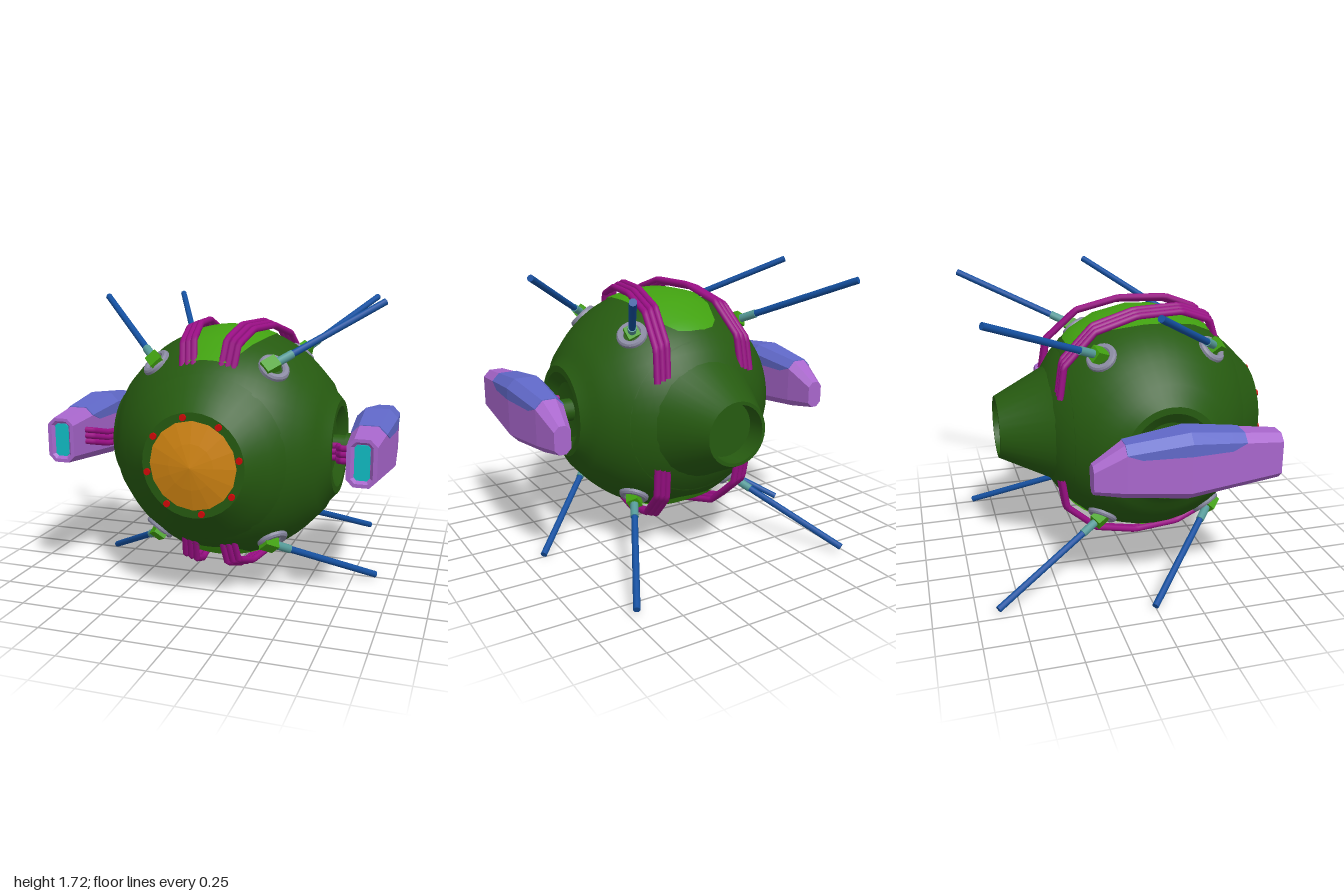
import * as THREE from 'three';
import { toCreasedNormals } from 'three/addons/utils/BufferGeometryUtils.js';

const CY = 0.873, CZ = 0.15, R = 0.697; // hull centre and radius
const V = (x, y, z) => new THREE.Vector3(x, y, z);
const mat = (color, extra = {}) => new THREE.MeshStandardMaterial({ color, ...extra });
const M = {
  hull: mat(0x265a10, { side: THREE.DoubleSide }),
  panel: mat(0x41a010, { side: THREE.DoubleSide }),
  orange: mat(0xd08412, { flatShading: true }),
  red: mat(0xd00808),
  cable: mat(0x9a0f85),
  rod: mat(0x1450a0),
  socket: mat(0x559a98),
  ring: mat(0x8888a0),
  pod: mat(0xa866cc, { flatShading: true }),
  canopy: mat(0x6068c8, { flatShading: true }),
  light: mat(0x10bcc4, { flatShading: true }),
  block: mat(0x41a010, { flatShading: true }),
};

export function createModel() {
  const model = new THREE.Group();
  const add = (name, geo, material, parent = model) => {
    const mesh = new THREE.Mesh(geo, material);
    mesh.name = name;
    parent.add(mesh);
    return mesh;
  };
  const lathe = (pts, sides) =>
    toCreasedNormals(new THREE.LatheGeometry(pts.map(p => new THREE.Vector2(...p)), sides), 0.5);

  // Hull: sphere turned about the x axis, with a raised collar and sunken bowl on each side
  const side = [[0.455, 0.53], [0.385, 0.595], [0.34, 0.615], [0.28, 0.67], [0.24, 0.67], [0.17, 0.62], [0, 0.6]];
  const arc = [];
  const end = Math.asin(0.53 / R);
  for (let i = 1; i < 20; i++) {
    const a = -end + (2 * end * i) / 20;
    arc.push([R * Math.cos(a), R * Math.sin(a)]);
  }
  const profile = [...side.map(([r, h]) => [r, -h]).reverse(), ...arc, ...side];
  add('hull', lathe(profile, 40).rotateZ(-Math.PI / 2), M.hull).position.set(0, CY, CZ);

  // Front collar with its flat face
  add('frontCollar', lathe([[0.475, 0.51], [0.41, 0.58], [0.365, 0.62], [0.295, 0.69], [0, 0.69]], 32)
    .rotateX(Math.PI / 2), M.hull).position.set(0, CY, CZ);

  // Rear nozzle with a hollow mouth
  add('rearNozzle', lathe([[0.47, 0.515], [0.38, 0.57], [0.345, 0.605], [0.19, 0.91], [0.17, 0.91], [0.165, 0.8], [0, 0.8]], 32)
    .rotateX(-Math.PI / 2), M.hull).position.set(0, CY, CZ);

  // Front window dish and the rivets around it
  add('window', lathe([[0.25, 0.84], [0.13, 0.868], [0, 0.89]], 16).rotateX(Math.PI / 2), M.orange)
    .position.set(0, CY, 0);
  for (let i = 0; i < 8; i++) {
    const a = 1.76 + (i * Math.PI) / 4;
    add('rivet', new THREE.CylinderGeometry(0.019, 0.019, 0.03, 10).rotateX(Math.PI / 2), M.red)
      .position.set(0.27 * Math.cos(a), CY + 0.27 * Math.sin(a), 0.838);
  }

  // Light panels lying on the hull, above and below
  const widths = [[-0.33, 0.05], [-0.31, 0.12], [-0.26, 0.17], [-0.1, 0.225], [0.1, 0.265], [0.25, 0.26], [0.42, 0.21], [0.6, 0.12]];
  for (const up of [1, -1]) {
    const geo = new THREE.PlaneGeometry(2, 1, 12, widths.length - 1);
    const p = geo.attributes.position;
    for (let i = 0; i < p.count; i++) {
      const [z, w] = widths[Math.floor(i / 13)];
      const x = p.getX(i) * w, r = R + 0.008;
      p.setXYZ(i, x, CY + up * Math.sqrt(r * r - x * x - (z - CZ) ** 2), z);
    }
    geo.computeVertexNormals();
    // the lower panel is mirrored, so its corners run the other way
    if (up < 0) {
      geo.index.array.reverse();
      geo.computeVertexNormals();
    }
    add(up > 0 ? 'topPanel' : 'bottomPanel', geo, M.panel);
  }

  // Cables with straight runs between bends
  const cable = (name, pts, radius) => add(name,
    new THREE.TubeGeometry(new THREE.CatmullRomCurve3(pts, false, 'catmullrom', 0), 48, radius, 8), M.cable);
  const run = [[0.115, 1.37, 0.59], [0.13, 1.51, 0.54], [0.16, 1.58, 0.35], [0.205, 1.58, 0.06],
    [0.24, 1.51, -0.2], [0.275, 1.33, -0.39], [0.285, 1.14, -0.42]];
  const feed = [[0.6, 0.875, 0.3], [0.69, 0.88, 0.31], [0.715, 0.89, 0.42], [0.75, 0.92, 0.53], [0.83, 0.925, 0.545]];
  for (const s of [1, -1]) {
    for (const k of [-1, 0, 1]) {
      for (const up of [1, -1]) {
        cable('hullCable', run.map(([x, y, z]) =>
          V(s * (x + k * 0.034), CY + up * (y - CY - k * 0.012), z)), 0.02);
      }
      cable('podCable', feed.map(([x, y, z]) => V(s * x, y + k * 0.035, z)), 0.018);
    }
  }

  // Loft through closed rings, back to front, each counter-clockwise seen from the front
  const loft = rings => {
    const pos = [], n = rings[0].length;
    const tri = (...t) => t.forEach(v => pos.push(v.x, v.y, v.z));
    for (let i = 0; i + 1 < rings.length; i++) {
      for (let j = 0; j < n; j++) {
        const k = (j + 1) % n, a = rings[i], b = rings[i + 1];
        tri(a[j], a[k], b[k]);
        tri(a[j], b[k], b[j]);
      }
    }
    const first = rings[0], last = rings[rings.length - 1];
    for (let j = 1; j + 1 < n; j++) {
      tri(first[0], first[j + 1], first[j]);
      tri(last[0], last[j], last[j + 1]);
    }
    const geo = new THREE.BufferGeometry();
    geo.setAttribute('position', new THREE.Float32BufferAttribute(pos, 3));
    geo.computeVertexNormals();
    return geo;
  };
  const octagon = ([z, w, b, t, c]) => [V(w, b + c, z), V(w, t - c, z), V(w - c, t, z), V(c - w, t, z),
    V(-w, t - c, z), V(-w, b + c, z), V(c - w, b, z), V(w - c, b, z)];

  // Side pods: stations are z, half width, bottom, top, chamfer
  const stations = [[-0.37, 0.05, 0.795, 0.96, 0.03], [-0.2, 0.085, 0.765, 1.067, 0.045],
    [0.15, 0.115, 0.73, 1.11, 0.05], [0.68, 0.083, 0.785, 1.048, 0.04]];
  const lip = [[0.68, 0.06, 0.805, 1.03, 0.025], [0.66, 0.043, 0.82, 1.015, 0.015]];
  const at = z => {
    const i = stations.findIndex((s, k) => k < 3 && z <= stations[k + 1][0]);
    const a = stations[i], b = stations[i + 1], f = (z - a[0]) / (b[0] - a[0]);
    return a.map((v, k) => v + (b[k] - v) * f);
  };
  const canopyRings = [[-0.2, 0], [-0.12, 1], [0.15, 1], [0.38, 1], [0.46, 0]].map(([z, deep]) => {
    let [, w, , t, c] = at(z);
    w += 0.004;
    t += 0.004;
    const low = deep ? 0.995 : t - c - 0.002;
    return [V(w, low, z), V(w, t - c, z), V(w - c, t, z), V(c - w, t, z), V(-w, t - c, z), V(-w, low, z)];
  });
  for (const s of [1, -1]) {
    const pod = new THREE.Group();
    pod.name = s > 0 ? 'leftPod' : 'rightPod';
    pod.position.x = s * 0.885;
    model.add(pod);
    add('podShell', loft([...stations, ...lip].map(octagon)), M.pod, pod);
    add('podCanopy', loft(canopyRings), M.canopy, pod);
    add('podLight', loft([[0.65, 0.042, 0.821, 1.014, 0.015], [0.667, 0.042, 0.821, 1.014, 0.015]].map(octagon)), M.light, pod);

    // Strut from the hull bowl to the pod
    add('podStrut', new THREE.CylinderGeometry(0.07, 0.07, 0.24, 16).rotateZ(Math.PI / 2), M.hull)
      .position.set(s * 0.7, CY, CZ);
    add('strutCollar', new THREE.CylinderGeometry(0.085, 0.085, 0.04, 16).rotateZ(Math.PI / 2), M.hull)
      .position.set(s * 0.73, CY, CZ);
  }

  // Antennas: ring on the hull, block, socket and rod
  const ringProfile = [[0.05, -0.03], [0.095, -0.03], [0.09, 0.004], [0.08, 0.014], [0.06, 0.014], [0.05, 0.004], [0.05, -0.03]];
  const masts = [
    { seat: [0.36, 0.51, 0.34], block: [0.34, 1.385, 0.515], tip: [0.885, 1.715, -0.005] },
    { seat: [0.36, 0.51, -0.34], block: [0.36, 1.39, -0.2], tip: [0.715, 1.695, -0.88] },
  ];
  const Y = V(0, 1, 0);
  for (const { seat, block, tip } of masts) for (const s of [1, -1]) for (const up of [1, -1]) {
    const antenna = new THREE.Group();
    antenna.name = 'antenna';
    model.add(antenna);
    const out = V(s * seat[0], up * seat[1], seat[2]).normalize();
    const place = ([x, y, z]) => V(s * x, CY + up * (y - CY), z);
    const from = place(block), to = place(tip);
    const dir = to.clone().sub(from).normalize(), length = from.distanceTo(to);
    const ring = add('antennaRing', lathe(ringProfile, 20), M.ring, antenna);
    ring.position.copy(out).multiplyScalar(R + 0.004).add(V(0, CY, CZ));
    ring.quaternion.setFromUnitVectors(Y, out);
    const along = (name, geo, material, d) => {
      const mesh = add(name, geo, material, antenna);
      mesh.position.copy(from).addScaledVector(dir, d);
      mesh.quaternion.setFromUnitVectors(Y, dir);
    };
    along('antennaBlock', new THREE.BoxGeometry(0.075, 0.09, 0.075), M.block, 0);
    along('antennaSocket', new THREE.CylinderGeometry(0.025, 0.025, 0.12, 12), M.socket, 0.09);
    along('antennaRod', new THREE.CylinderGeometry(0.02, 0.02, length - 0.12, 12), M.rod, (length + 0.12) / 2);
  }
  return model;
}
